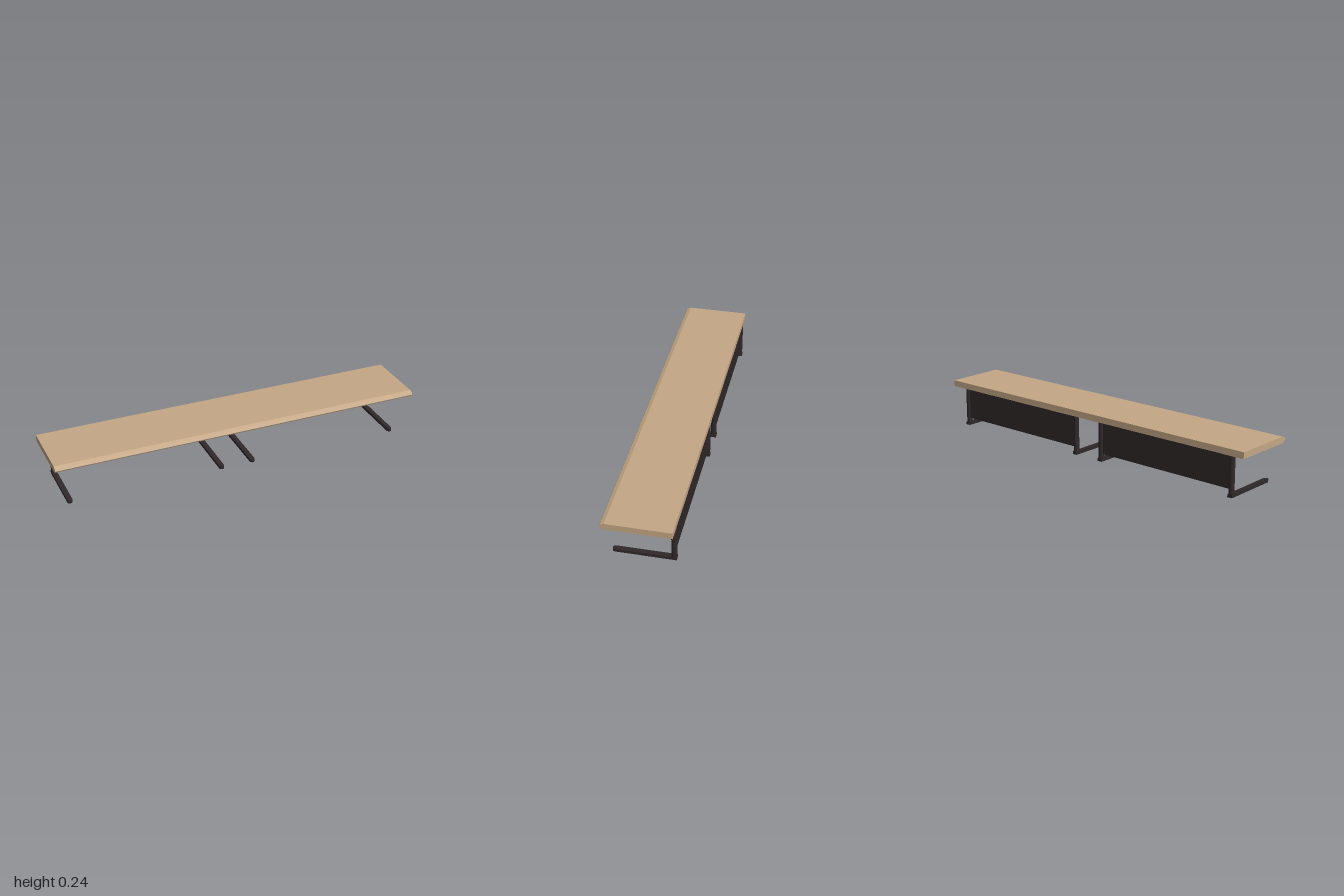
import * as THREE from 'three';

export function createModel() {
  const model = new THREE.Group();
  model.name = 'longBench';
  const wood = new THREE.MeshStandardMaterial({ color: 0xc4a785 });
  wood.name = 'light wood';
  const metal = new THREE.MeshStandardMaterial({ color: 0x302829 });
  metal.name = 'dark metal';

  const add = (parent, name, geometry, material, x, y, z) => {
    const mesh = new THREE.Mesh(geometry, material);
    mesh.name = name;
    mesh.position.set(x, y, z);
    parent.add(mesh);
    return mesh;
  };

  // Top: side profile with a bullnose front edge, extruded along x
  const profile = new THREE.Shape([
    [-0.175, 0.209], [0.152, 0.209], [0.172, 0.218], [0.176, 0.226],
    [0.172, 0.235], [0.152, 0.243], [-0.175, 0.243],
  ].map(([z, y]) => new THREE.Vector2(-z, y)));
  const topGeometry = new THREE.ExtrudeGeometry(profile, { depth: 2, bevelEnabled: false });
  topGeometry.translate(0, 0, -1).rotateY(Math.PI / 2);
  // the profile's -x axis becomes +z after the quarter turn
  add(model, 'benchTop', topGeometry, wood, 0, 0, 0);

  // Foot: flat bar, square at the back and rounded at the front in plan
  const r = 0.0135;
  const plan = new THREE.Shape();
  plan.moveTo(-r, 0.175);
  plan.lineTo(r, 0.175);
  plan.lineTo(r, -0.141 + r);
  plan.absarc(0, -0.141 + r, r, 0, -Math.PI, true);
  plan.closePath();
  const footGeometry = new THREE.ExtrudeGeometry(plan, { depth: 0.016, bevelEnabled: false, curveSegments: 8 });
  footGeometry.rotateX(-Math.PI / 2);

  const postGeometry = new THREE.CylinderGeometry(0.0145, 0.0145, 0.195, 16);
  const span = 0.825;
  const panelGeometry = new THREE.BoxGeometry(span, 0.169, 0.01);

  // Two identical frames, each with two legs and a back panel
  for (const centre of [-0.514, 0.486]) {
    const frame = new THREE.Group();
    frame.name = centre < 0 ? 'rightFrame' : 'leftFrame';
    frame.position.x = centre;
    for (const side of [-1, 1]) {
      const x = side * span / 2;
      add(frame, 'post', postGeometry, metal, x, 0.1125, -0.1605);
      add(frame, 'foot', footGeometry, metal, x, 0, 0);
    }
    add(frame, 'backPanel', panelGeometry, metal, 0, 0.1245, -0.1605);
    model.add(frame);
  }
  return model;
}
